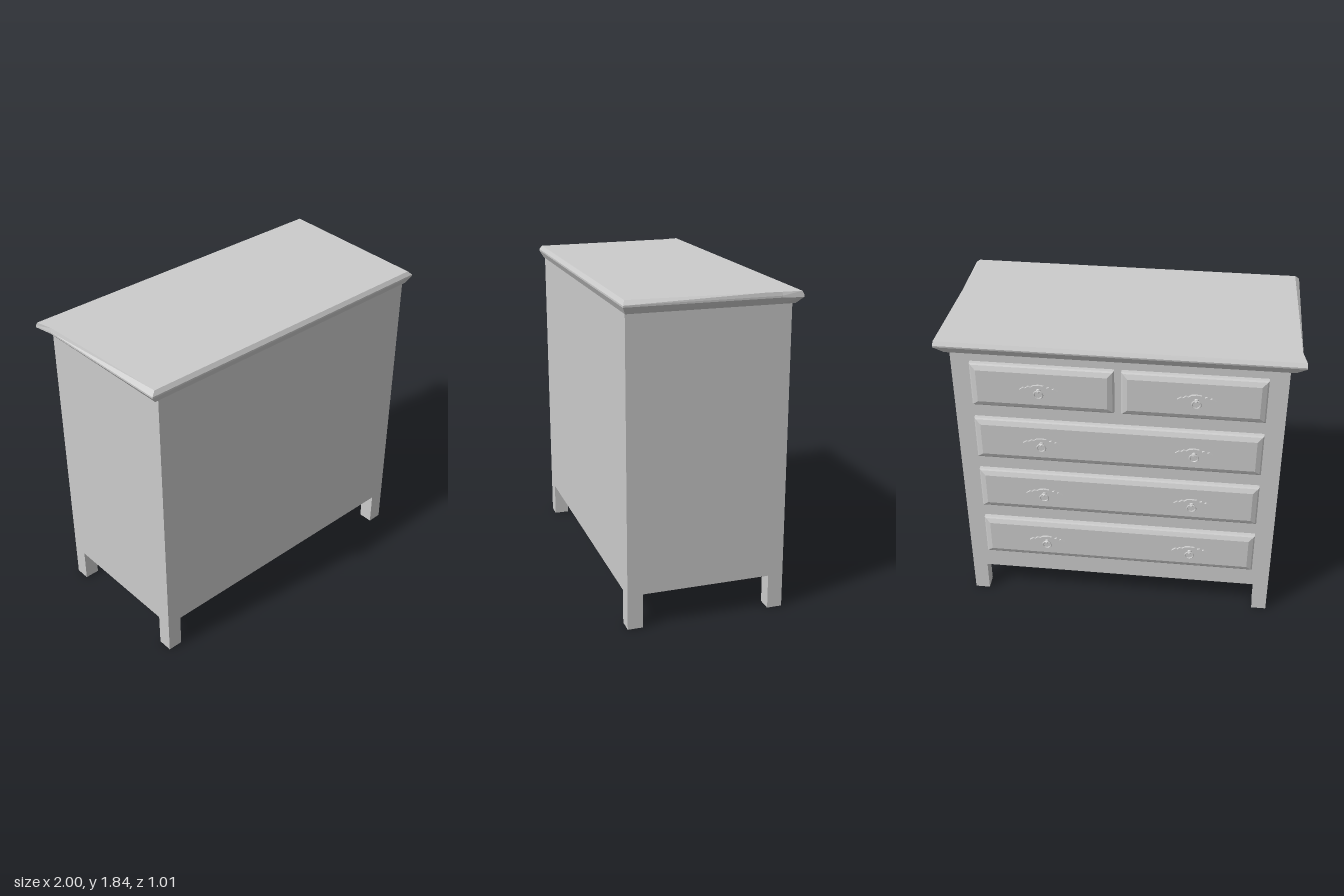
import * as THREE from 'three';

const mat = new THREE.MeshStandardMaterial({ color: 0xcccccc, flatShading: true });
const openMat = new THREE.MeshStandardMaterial({ color: 0xcccccc, flatShading: true, side: THREE.DoubleSide });

function add(parent, name, geometry, x = 0, y = 0, z = 0, material = mat) {
  const mesh = new THREE.Mesh(geometry, material);
  mesh.name = name;
  mesh.position.set(x, y, z);
  parent.add(mesh);
  return mesh;
}

// Closed solid through rings of equal length, counterclockwise seen from the last ring's side
function loft(rings) {
  const n = rings[0].length, last = rings[rings.length - 1], pos = [];
  const tri = (a, b, c) => pos.push(...a, ...b, ...c);
  for (let r = 0; r < rings.length - 1; r++) {
    for (let i = 0; i < n; i++) {
      const j = (i + 1) % n, a = rings[r], b = rings[r + 1];
      tri(a[i], a[j], b[j]);
      tri(a[i], b[j], b[i]);
    }
  }
  for (let i = 1; i < n - 1; i++) {
    tri(last[0], last[i], last[i + 1]);
    tri(rings[0][0], rings[0][i + 1], rings[0][i]);
  }
  const g = new THREE.BufferGeometry();
  g.setAttribute('position', new THREE.Float32BufferAttribute(pos, 3));
  g.computeVertexNormals();
  return g;
}

// Table top outline: straight sides that flare out at the drawer side
function topRing(y, xFront, zFront, xMid, xBack, zBack) {
  return [
    [xFront, y, zFront], [xMid, y, -0.35], [xBack, y, zBack],
    [-xBack, y, zBack], [-xMid, y, -0.35], [-xFront, y, zFront],
  ];
}

// Drawer front with chamfered edges, facing -z
function drawerGeometry(w, h) {
  const ring = (inset, z) => {
    const x = w / 2 - inset, y = h / 2 - inset;
    return [[-x, -y, z], [-x, y, z], [x, y, z], [x, -y, z]];
  };
  return loft([ring(0, 0), ring(0, -0.022), ring(0.008, -0.028), ring(0.035, -0.04)]);
}

// Scalloped back plate, mirrored from one quarter outline
function plateGeometry() {
  const q = [[0.106, 0], [0.084, 0.016], [0.074, 0.011], [0.058, 0.024], [0.044, 0.019], [0.028, 0.031], [0, 0.034]];
  const upper = [...q, ...q.slice(0, -1).reverse().map(([x, y]) => [-x, y])];
  const lower = upper.slice(1, -1).reverse().map(([x, y]) => [x, -y]);
  const shape = new THREE.Shape([...upper, ...lower].map(([x, y]) => new THREE.Vector2(x, y)));
  return new THREE.ExtrudeGeometry(shape, { depth: 0.011, bevelEnabled: false });
}

const plate = plateGeometry();
const post = new THREE.CylinderGeometry(0.007, 0.007, 0.03, 10).rotateX(Math.PI / 2);
const rosette = new THREE.CylinderGeometry(0.014, 0.01, 0.006, 12).rotateX(Math.PI / 2);
const ring = new THREE.TorusGeometry(0.024, 0.005, 6, 18);

function handle(parent, x, y) {
  const g = new THREE.Group();
  g.name = 'handle';
  g.position.set(x, y, -0.475);
  parent.add(g);
  add(g, 'handlePlate', plate, 0, 0, -0.011);
  add(g, 'handlePost', post, 0, 0, -0.02);
  add(g, 'handleRosette', rosette, 0, 0, -0.013);
  add(g, 'handleRing', ring, 0, -0.019, -0.022);
}

export function createModel() {
  const model = new THREE.Group();
  model.name = 'chestOfDrawers';

  // Carcass
  add(model, 'carcass', new THREE.BoxGeometry(1.834, 1.56, 0.915), 0, 0.98, 0.0225);

  // Hollow legs, without top and bottom faces
  const leg = new THREE.BoxGeometry(0.087, 0.2, 0.087);
  const index = Array.from(leg.index.array);
  leg.setIndex([...index.slice(0, 12), ...index.slice(24)]);
  leg.clearGroups();
  for (const x of [-0.8735, 0.8735]) {
    for (const z of [-0.3915, 0.4365]) add(model, 'leg', leg, x, 0.1, z, openMat);
  }

  // Moulded top
  add(model, 'top', loft([
    topRing(1.762, 0.94, 0.485, 0.945, 0.945, -0.44),
    topRing(1.802, 0.97, 0.505, 0.98, 1.0, -0.462),
    topRing(1.812, 0.97, 0.505, 0.98, 1.0, -0.464),
    topRing(1.835, 0.945, 0.49, 0.975, 0.997, -0.452),
  ]));

  // Drawers: three full-width rows and a split top row
  const rows = [0.479, 0.847, 1.213, 1.577];
  const wide = drawerGeometry(1.62, 0.273), narrow = drawerGeometry(0.79, 0.273);
  rows.forEach((y, i) => {
    if (i < 3) add(model, 'wideDrawer', wide, 0, y, -0.435);
    else for (const x of [-0.415, 0.415]) add(model, 'smallDrawer', narrow, x, y, -0.435);
    for (const x of [-0.43, 0.43]) handle(model, x, y);
  });

  return model;
}
